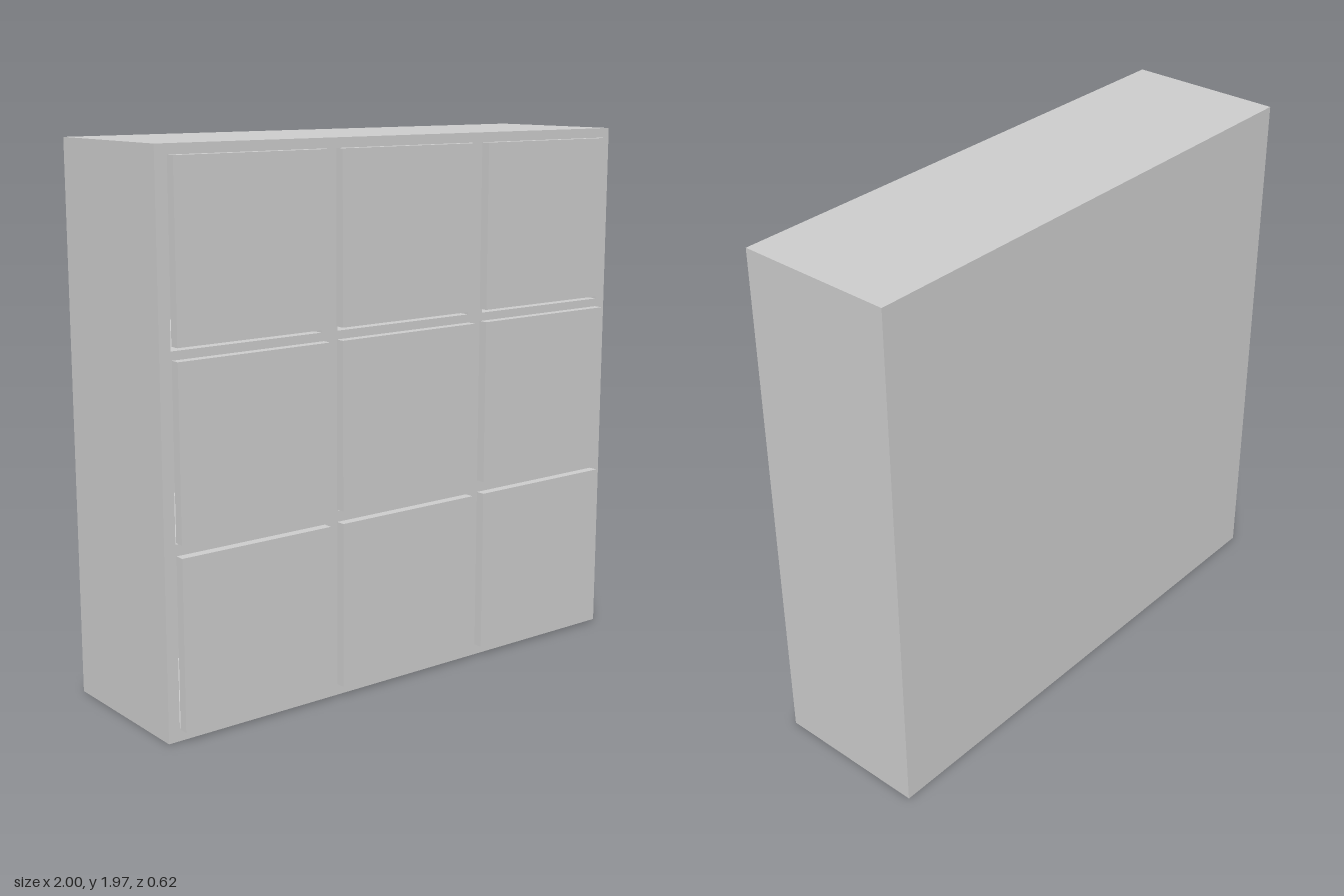
import * as THREE from 'three';

const W = 2, H = 1.965, BACK = -0.31, FRONT = 0.275, BACK_THICK = 0.03;
const DOOR = 0.6, DOOR_THICK = 0.035;
const material = new THREE.MeshStandardMaterial({ color: 0xcccccc, flatShading: true });

function addMesh(parent, name, geometry, x, y, z) {
  const mesh = new THREE.Mesh(geometry, material);
  mesh.name = name;
  mesh.position.set(x, y, z);
  parent.add(mesh);
  return mesh;
}

// Axis-aligned rectangle as a path, given its lower corner and size
function rect(path, x, y, w, h) {
  path.moveTo(x, y);
  path.lineTo(x + w, y);
  path.lineTo(x + w, y + h);
  path.lineTo(x, y + h);
  path.closePath();
  return path;
}

export function createModel() {
  const group = new THREE.Group();
  group.name = 'cubeCabinet';

  // Carcass: outer frame, uprights and shelves in one piece with nine cubbies
  const outline = rect(new THREE.Shape(), -W / 2, 0, W, H);
  for (let row = 0; row < 3; row++) {
    for (let col = 0; col < 3; col++) {
      const x = (col - 1) * 0.661 - 0.296;
      outline.holes.push(rect(new THREE.Path(), x, 0.045 + row * 0.635, 0.592, 0.585));
    }
  }
  const depth = FRONT - BACK - BACK_THICK;
  const carcass = new THREE.ExtrudeGeometry(outline, { depth, bevelEnabled: false });
  addMesh(group, 'carcass', carcass, 0, 0, BACK + BACK_THICK);

  // Back panel closing the cubbies
  addMesh(group, 'backPanel', new THREE.BoxGeometry(W, H, BACK_THICK), 0, H / 2, BACK + BACK_THICK / 2);

  // Nine square doors laid over the front
  const doors = new THREE.Group();
  doors.name = 'doors';
  group.add(doors);
  const doorGeometry = new THREE.BoxGeometry(DOOR, DOOR, DOOR_THICK);
  for (let row = 0; row < 3; row++) {
    for (let col = 0; col < 3; col++) {
      addMesh(doors, 'door', doorGeometry,
        (col - 1) * 0.654, 0.34 + row * 0.645, FRONT + DOOR_THICK / 2);
    }
  }
  return group;
}
